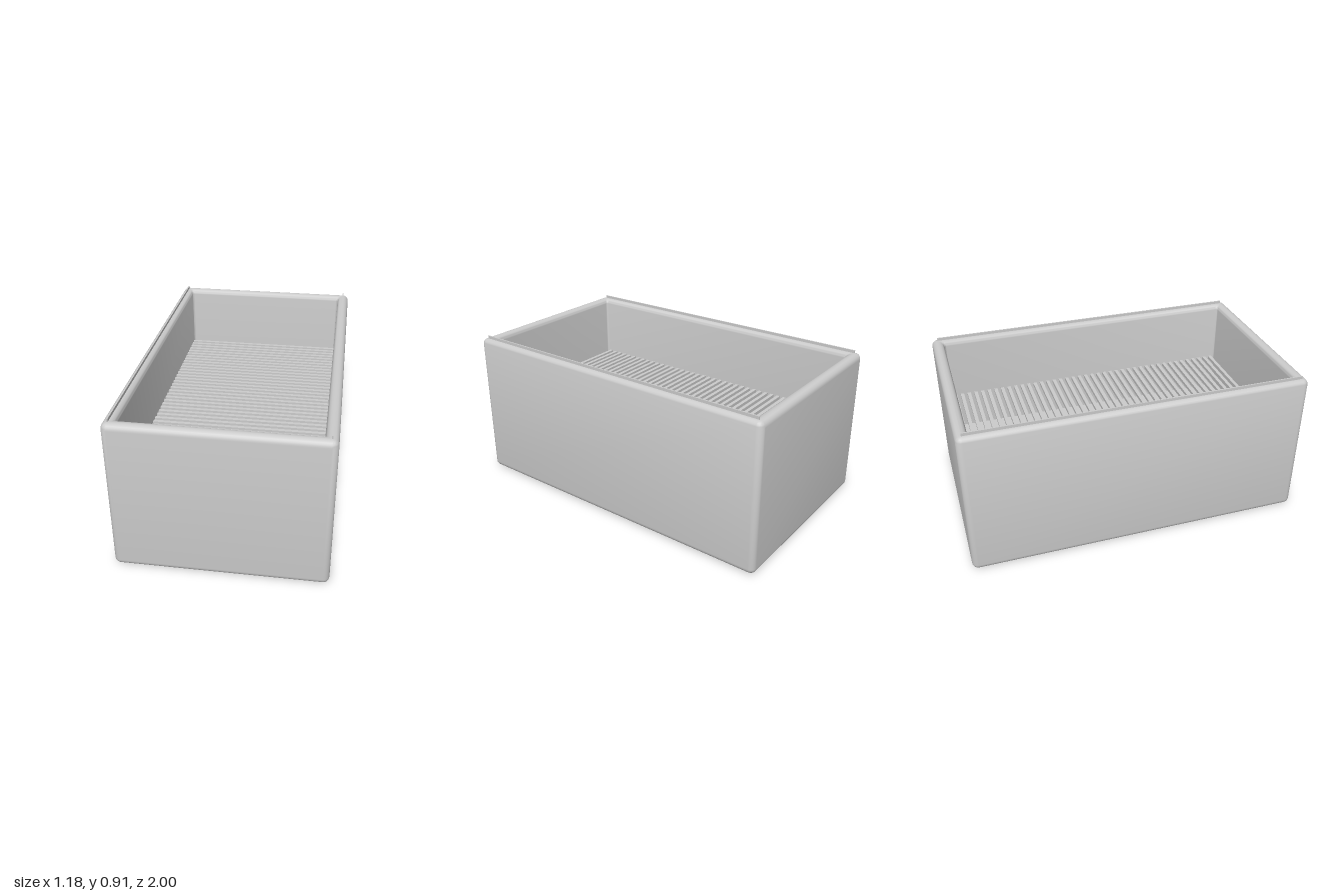
import * as THREE from 'three';
import { toCreasedNormals } from 'three/addons/utils/BufferGeometryUtils.js';

const W = 0.59, L = 1.0, H = 0.895; // outer half width, half length, height
const R = 0.035, WALL = 0.07, FLOOR = 0.27;
const GRILLE_Y = 0.51;
const SEG = 6;

const material = new THREE.MeshStandardMaterial({ color: 0xcccccc });

// Rounded rectangle in the xz plane
function ring(hw, hl, r, y) {
  const pts = [];
  const corners = [[1, 1], [-1, 1], [-1, -1], [1, -1]];
  corners.forEach(([sx, sz], q) => {
    for (let i = 0; i <= SEG; i++) {
      const a = (q + i / SEG) * Math.PI / 2;
      pts.push([sx * (hw - r) + r * Math.cos(a), y, sz * (hl - r) + r * Math.sin(a)]);
    }
  });
  return pts;
}

// Skin through consecutive rings
function loft(rings) {
  const n = rings[0].length, index = [];
  for (let k = 0; k < rings.length - 1; k++) {
    for (let i = 0; i < n; i++) {
      const a = k * n + i, b = k * n + (i + 1) % n;
      index.push(a, a + n, b, b, a + n, b + n);
    }
  }
  const g = new THREE.BufferGeometry();
  g.setAttribute('position', new THREE.Float32BufferAttribute(rings.flat(2), 3));
  g.setIndex(index);
  return toCreasedNormals(g, 0.6);
}

// Wall profile as [inset, y]: under the base, up outside, over the rim, down inside
function shellGeometry() {
  const profile = [];
  const arc = (cd, cy, r, from, to) => {
    for (let i = 0; i <= SEG; i++) {
      const a = from + (to - from) * i / SEG;
      profile.push([cd + r * Math.cos(a), cy + r * Math.sin(a)]);
    }
  };
  arc(R, R, R, 1.5 * Math.PI, Math.PI);
  arc(R, H - R, R, Math.PI, Math.PI / 2);
  arc(WALL - 0.03, H - 0.03, 0.03, Math.PI / 2, 0);
  profile.push([WALL, FLOOR]);
  const rings = profile.map(([d, y]) => ring(W - d, L - d, Math.max(R - d, 0.015), y));
  // Close the base and the inner floor at the centre
  rings.unshift(ring(0, 0, 0, 0));
  rings.push(ring(0, 0, 0, FLOOR));
  return loft(rings);
}

export function createModel() {
  const model = new THREE.Group();
  const add = (geometry, name, x, y, z, parent = model) => {
    const mesh = new THREE.Mesh(geometry, material);
    mesh.name = name;
    mesh.position.set(x, y, z);
    parent.add(mesh);
  };

  // Open box with rounded edges
  add(shellGeometry(), 'boxShell', 0, 0, 0);

  // Thin upright rails along the two long rims
  const rail = new THREE.BoxGeometry(0.008, 0.05, 1.93);
  add(rail, 'leftRail', 0.555, 0.886, 0);
  add(rail, 'rightRail', -0.555, 0.886, 0);

  // Grille of cross bars part way down the inside
  const grille = new THREE.Group();
  grille.name = 'grille';
  model.add(grille);
  const count = 42, pitch = 0.044;
  const bar = new THREE.BoxGeometry(2 * (W - WALL) + 0.01, 0.02, 0.022);
  for (let i = 0; i < count; i++) {
    add(bar, 'grilleBar', 0, GRILLE_Y - 0.01, (i - (count - 1) / 2) * pitch, grille);
  }
  return model;
}
